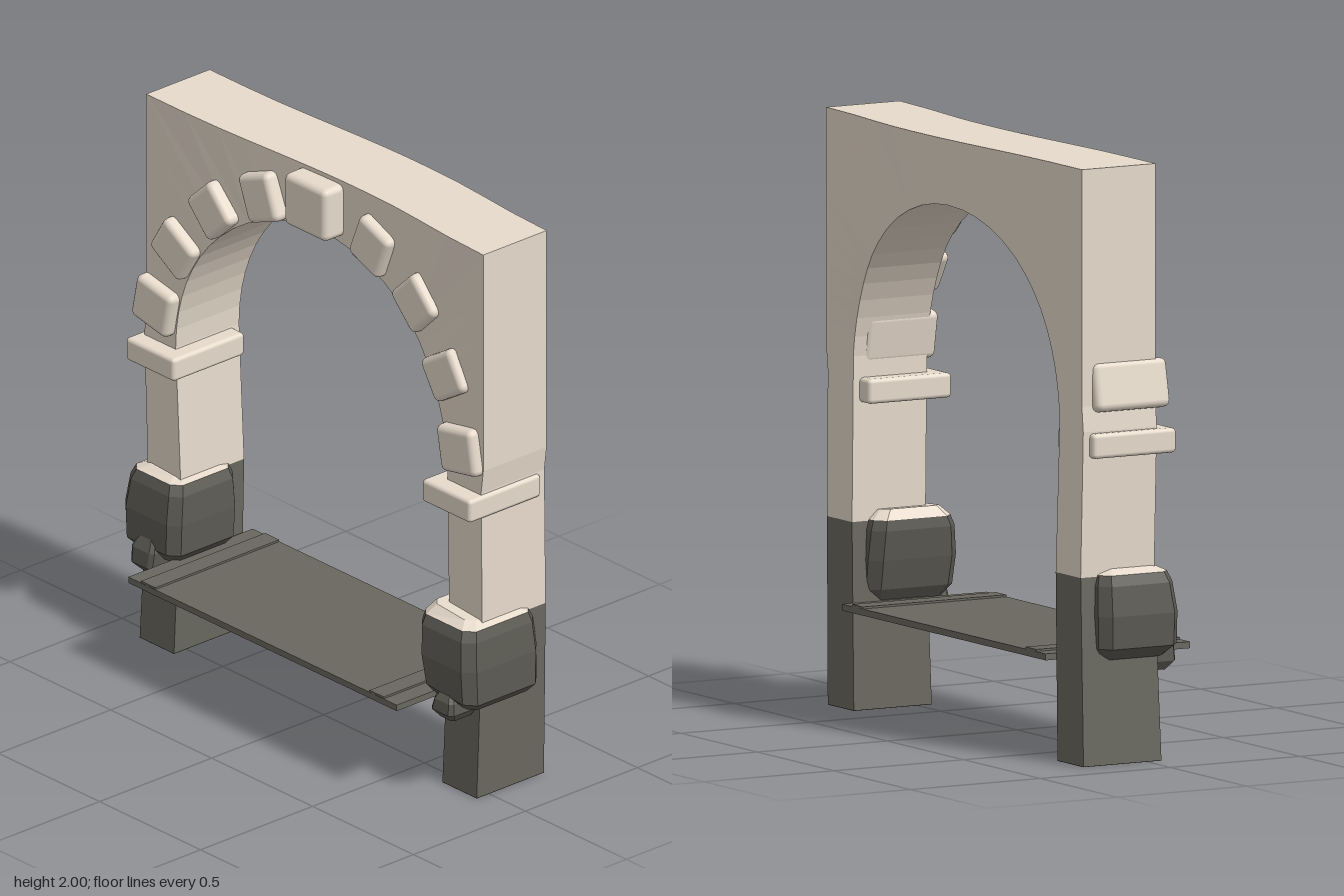
import * as THREE from 'three';
import { RoundedBoxGeometry } from 'three/addons/geometries/RoundedBoxGeometry.js';

function paint(name, color) {
  const m = new THREE.MeshStandardMaterial({ color });
  m.name = name;
  return m;
}
const stone = paint('paleStone', 0xe6dacb);
const dark = paint('darkStone', 0x69675f);
const boulder = paint('boulderStone', 0x5c5a53);
const under = paint('blackUnderside', 0x2c2b2a);

// Flat-shaded solid through rings of [x, y, z], counterclockwise seen from the far end
function loft(rings) {
  const pos = [];
  const tri = (a, b, c) => pos.push(...a, ...b, ...c);
  const n = rings[0].length;
  for (let i = 0; i < rings.length - 1; i++) {
    for (let j = 0; j < n; j++) {
      const k = (j + 1) % n;
      const a = rings[i][j], b = rings[i][k], c = rings[i + 1][k], d = rings[i + 1][j];
      tri(a, b, c);
      tri(a, c, d);
    }
  }
  const first = rings[0], last = rings[rings.length - 1];
  for (let j = 1; j < n - 1; j++) {
    tri(first[0], first[j + 1], first[j]);
    tri(last[0], last[j], last[j + 1]);
  }
  const g = new THREE.BufferGeometry();
  g.setAttribute('position', new THREE.Float32BufferAttribute(pos, 3));
  g.computeVertexNormals();
  return g;
}

// Wall section between an outer and an inner point; the wall bows backward right of mid-span
const { smoothstep } = THREE.MathUtils;
function wallRing([ox, oy, ix, iy, front = 0.043, back = -0.24]) {
  const bow = x => 0.035 * smoothstep(x, -0.65, 0.15) * (1 - smoothstep(x, 0.25, 0.84))
    * smoothstep(oy, 1.1, 1.9);
  const p = (x, y, z) => [x, y, z - bow(x)];
  return [p(ox, oy, front), p(ix, iy, front), p(ix, iy, back), p(ox, oy, back)];
}

// Chamfered horizontal ring for boulders
function rockRing([y, x0, x1, z0, z1, tilt = 0]) {
  const cx = (x1 - x0) * 0.14, cz = (z1 - z0) * 0.11, m = (x0 + x1) / 2;
  return [[x0 + cx, z1], [x1 - cx, z1], [x1, z1 - cz], [x1, z0 + cz],
    [x1 - cx, z0], [x0 + cx, z0], [x0, z0 + cz], [x0, z1 - cz]]
    .map(([x, z]) => [x, y + tilt * (x - m), z]);
}

export function createModel() {
  const model = new THREE.Group();
  const add = (name, geometry, material, x = 0, y = 0, z = 0, turn = 0) => {
    const m = new THREE.Mesh(geometry, material);
    m.name = name;
    m.position.set(x, y, z);
    m.rotation.z = turn;
    model.add(m);
  };

  // Dark feet of the two piers, with black soles
  const leftTop = [0.834, 0.63, 0.67, 0.63], rightTop = [-0.823, 0.63, -0.66, 0.63];
  add('rightFoot', loft([[-0.85, 0.002, -0.68, 0.002, 0.055, -0.245], rightTop].map(wallRing)), dark);
  add('leftFoot', loft([leftTop, [0.82, 0.002, 0.65, 0.002, 0.055, -0.245]].map(wallRing)), dark);
  for (const [name, x] of [['rightSole', -0.765], ['leftSole', 0.735]]) {
    add(name, new THREE.BoxGeometry(0.17, 0.002, 0.3), under, x, 0.001, -0.095);
  }

  // Pale piers and arch, swept from one side to the other
  const stations = [rightTop, [-0.84, 1.12, -0.685, 1.12]];
  const corner = Math.atan2(0.88, 0.835);
  const angles = [];
  for (let i = 1; i <= 8; i++) angles.push(Math.PI - corner * i / 8);
  for (let i = 1; i <= 12; i++) angles.push(Math.PI - corner - (Math.PI - 2 * corner) * i / 12);
  for (let i = 7; i >= 1; i--) angles.push(corner * i / 8);
  for (const a of angles) {
    const c = Math.cos(a), s = Math.sin(a);
    const reach = Math.min(0.835 / Math.abs(c), 0.88 / s);
    stations.push([c * reach + 0.004, 1.12 + s * reach, -0.01 + 0.675 * c, 1.12 + 0.66 * s]);
  }
  stations.push([0.828, 1.12, 0.662, 1.12], leftTop);
  add('archWall', loft(stations.map(wallRing)), stone);

  // Arch blocks: x, y, width, height, turn, front z, back z
  [
    [-0.767, 1.253, 0.18, 0.165, -0.2, 0.085, -0.2],
    [-0.67, 1.495, 0.172, 0.155, -0.55, 0.083, -0.03],
    [-0.49, 1.698, 0.165, 0.16, -0.82, 0.08, -0.03],
    [-0.257, 1.825, 0.16, 0.17, 0.36, 0.07, -0.04],
    [0.002, 1.89, 0.21, 0.19, 0, 0.09, -0.04],
    [0.267, 1.825, 0.16, 0.17, -0.38, 0.047, -0.05],
    [0.495, 1.7, 0.165, 0.16, -0.8, 0.057, -0.04],
    [0.655, 1.495, 0.175, 0.155, 0.55, 0.068, -0.03],
    [0.737, 1.252, 0.18, 0.165, 0.18, 0.08, -0.2],
  ].forEach(([x, y, w, h, turn, front, back], i) => {
    add(`archBlock${i + 1}`, new RoundedBoxGeometry(w, h, front - back, 2, 0.023), stone,
      x, y, (front + back) / 2, turn);
  });

  // Impost bands
  for (const [name, x] of [['rightImpost', -0.747], ['leftImpost', 0.721]]) {
    add(name, new RoundedBoxGeometry(0.24, 0.083, 0.32, 2, 0.014), stone, x, 1.072, -0.055);
  }

  // Boulders around the piers, with pale tops
  add('rightBoulder', loft([
    [0.35, -0.84, -0.65, -0.16, 0.08],
    [0.39, -0.885, -0.615, -0.185, 0.115],
    [0.5, -0.892, -0.612, -0.19, 0.115],
    [0.6, -0.88, -0.62, -0.185, 0.1],
    [0.635, -0.865, -0.635, -0.175, 0.085],
  ].map(rockRing)), boulder);
  add('rightBoulderTop', loft([
    [0.635, -0.865, -0.635, -0.175, 0.085],
    [0.65, -0.82, -0.67, -0.14, 0.05, -0.06],
  ].map(rockRing)), stone);
  add('leftBoulder', loft([
    [0.35, 0.67, 0.86, -0.16, 0.11],
    [0.39, 0.635, 0.885, -0.185, 0.145, -0.08],
    [0.5, 0.612, 0.882, -0.19, 0.148],
    [0.6, 0.6, 0.868, -0.185, 0.135],
    [0.635, 0.605, 0.855, -0.175, 0.12],
  ].map(rockRing)), boulder);
  add('leftBoulderTop', loft([
    [0.635, 0.605, 0.855, -0.175, 0.12],
    [0.662, 0.63, 0.82, -0.14, 0.085, -0.08],
  ].map(rockRing)), stone);

  // Small stones under the boulders
  add('rightPebble', loft([
    [0.295, -0.79, -0.72, 0.05, 0.11],
    [0.325, -0.81, -0.705, 0.04, 0.14],
    [0.38, -0.81, -0.7, 0.04, 0.135],
    [0.43, -0.785, -0.72, 0.04, 0.11],
  ].map(rockRing)), boulder);
  add('leftPebble', loft([
    [0.3, 0.725, 0.795, 0.05, 0.14],
    [0.33, 0.705, 0.815, 0.04, 0.165],
    [0.37, 0.715, 0.81, 0.04, 0.16],
    [0.4, 0.73, 0.79, 0.04, 0.14],
  ].map(rockRing)), boulder);

  // Threshold slab, black below, with a raised strip near each end
  add('threshold', new THREE.BoxGeometry(1.33, 0.022, 0.555),
    [dark, dark, dark, under, dark, dark], 0.002, 0.348, -0.003);
  for (const x of [-0.565, 0.567]) {
    add('thresholdStrip', new THREE.BoxGeometry(0.07, 0.01, 0.553), dark, x, 0.361, -0.003);
  }
  return model;
}
